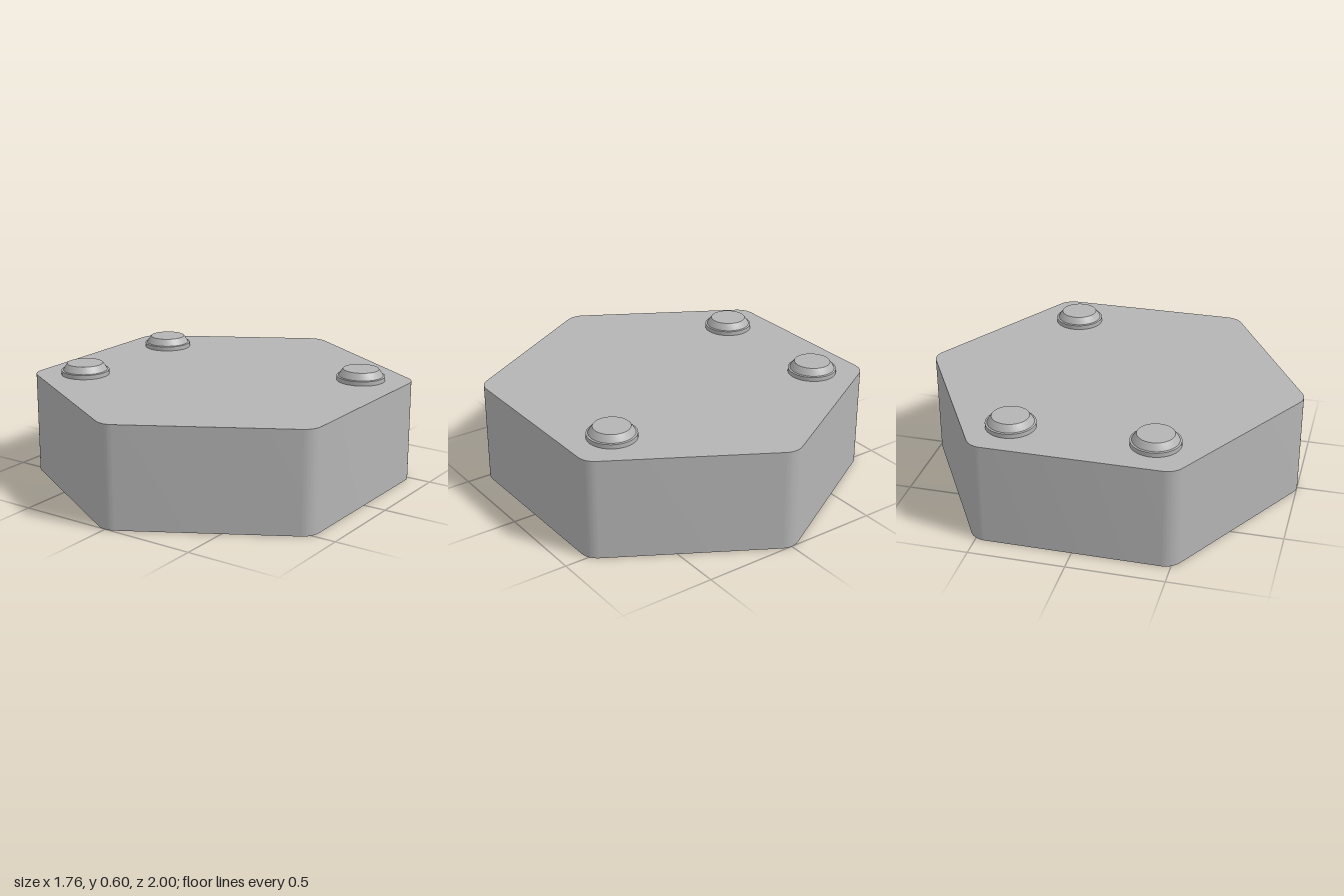
import * as THREE from 'three';
import { toCreasedNormals } from 'three/addons/utils/BufferGeometryUtils.js';

export function createModel() {
  const group = new THREE.Group();
  const grey = new THREE.MeshStandardMaterial({ color: 0xb4b4b4 });
  grey.name = 'grey';

  const apothem = 0.88, corner = 0.1, height = 0.54;

  // Hexagonal block with rounded vertical corners
  const shape = new THREE.Shape();
  const centreDist = (apothem - corner) / Math.cos(Math.PI / 6);
  for (let i = 0; i < 6; i++) {
    const a = Math.PI / 6 + (i * Math.PI) / 3;
    shape.absarc(centreDist * Math.cos(a), centreDist * Math.sin(a), corner,
      a - Math.PI / 6, a + Math.PI / 6, false);
  }
  shape.closePath();
  const bodyGeo = new THREE.ExtrudeGeometry(shape, { depth: height, bevelEnabled: false, curveSegments: 8 });
  bodyGeo.rotateX(-Math.PI / 2);
  const body = new THREE.Mesh(toCreasedNormals(bodyGeo, 0.5), grey);
  body.name = 'hexagonalBody';
  group.add(body);

  // Tapered studs with a small collar, on three of the corners
  const profile = [[0.128, 0], [0.128, 0.023], [0.118, 0.025], [0.114, 0.033], [0.095, 0.06], [0, 0.06]]
    .map(([r, y]) => new THREE.Vector2(r, y));
  const studGeo = toCreasedNormals(new THREE.LatheGeometry(profile, 40), 0.5);
  [['backRightStud', -0.64, -0.37], ['backLeftStud', 0.635, -0.37], ['frontRightStud', -0.64, 0.365]]
    .forEach(([name, x, z]) => {
      const stud = new THREE.Mesh(studGeo, grey);
      stud.name = name;
      stud.position.set(x, height, z);
      group.add(stud);
    });

  return group;
}
